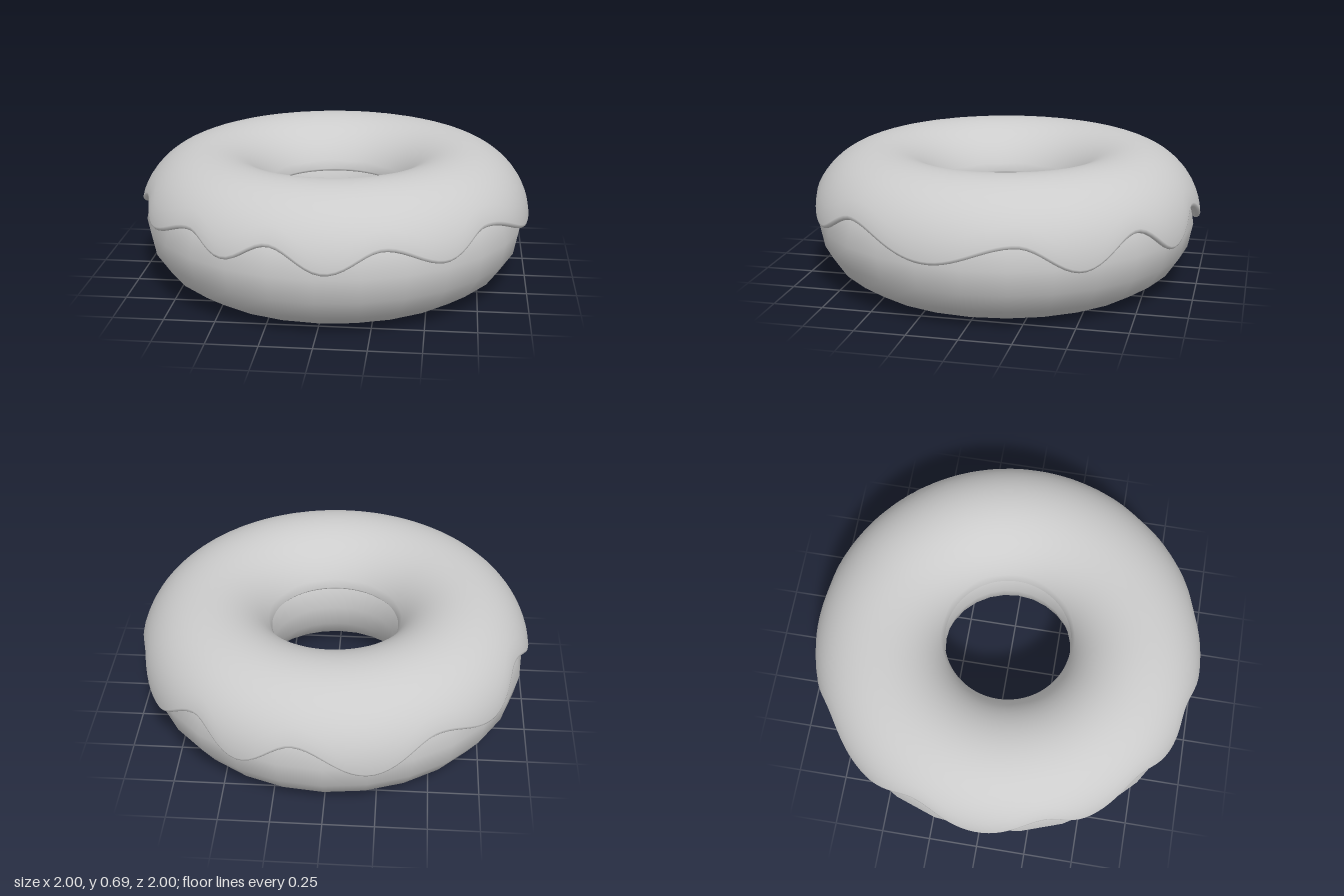
import * as THREE from 'three';

const RING = 0.65, TUBE = 0.322, CY = 0.325;

// Crests and drips of the icing hem: [angle in degrees from +x towards +z, height]
const HEM = [
  [9, 0.34], [37, 0.46], [53, 0.36], [71, 0.447], [87, 0.35], [103, 0.46], [116, 0.375],
  [129, 0.46], [147, 0.385], [160, 0.47], [179, 0.365], [199, 0.476], [217, 0.353],
  [237, 0.434], [257, 0.297], [278, 0.44], [294, 0.31], [309, 0.44], [327, 0.305], [345, 0.43],
];

// Smooth wave through the crests and drips
function hemHeight(deg) {
  const n = HEM.length;
  const d = deg < HEM[0][0] ? deg + 360 : deg;
  let i = n - 1;
  while (HEM[i][0] > d) i--;
  const [a0, y0] = HEM[i];
  const [a1, y1] = i + 1 < n ? HEM[i + 1] : [HEM[0][0] + 360, HEM[0][1]];
  const t = (d - a0) / (a1 - a0);
  return y0 + (y1 - y0) * (1 - Math.cos(Math.PI * t)) / 2;
}

// Cross-section as [tube angle, tube radius], from the outer hem over the top to the hole
function icingProfile(height) {
  const outer = Math.asin((height - CY) / (TUBE + 0.015));
  const inner = THREE.MathUtils.degToRad(158);
  const points = [[outer + 0.06, TUBE - 0.02]];
  // rounded lip
  for (let k = 0; k <= 5; k++) {
    const a = (k / 5) * Math.PI;
    points.push([outer + 0.05 * (1 - Math.sin(a)), TUBE + 0.015 - 0.018 * Math.cos(a)]);
  }
  // body, thickest on top and thin in the hole
  const steps = 20;
  for (let k = 1; k <= steps; k++) {
    const t = k / steps;
    const phi = outer + 0.05 + (inner - outer - 0.05) * t;
    const thick = phi < Math.PI / 2
      ? 0.032 + 0.011 * Math.max(0, Math.sin(phi))
      : 0.018 + 0.025 * Math.sin(phi);
    points.push([phi, TUBE + thick]);
  }
  points.push([inner + 0.025, TUBE + 0.012], [inner + 0.01, TUBE - 0.02]);
  return points;
}

function icingGeometry() {
  const around = 180;
  const positions = [], index = [];
  let rows = 0;
  for (let i = 0; i < around; i++) {
    const deg = (i / around) * 360;
    const theta = THREE.MathUtils.degToRad(deg);
    const profile = icingProfile(hemHeight(deg));
    rows = profile.length;
    for (const [phi, rho] of profile) {
      const r = RING + rho * Math.cos(phi);
      positions.push(r * Math.cos(theta), CY + rho * Math.sin(phi), r * Math.sin(theta));
    }
  }
  for (let i = 0; i < around; i++) {
    for (let j = 0; j < rows - 1; j++) {
      const a = i * rows + j;
      const b = ((i + 1) % around) * rows + j;
      index.push(a, a + 1, b, b, a + 1, b + 1);
    }
  }
  const geometry = new THREE.BufferGeometry();
  geometry.setAttribute('position', new THREE.Float32BufferAttribute(positions, 3));
  geometry.setIndex(index);
  geometry.computeVertexNormals();
  return geometry;
}

export function createModel() {
  const group = new THREE.Group();
  group.name = 'ringCake';
  const plainGrey = new THREE.MeshStandardMaterial({ color: 0xcccccc });
  plainGrey.name = 'plainGrey';

  // Dough ring
  const doughGeometry = new THREE.TorusGeometry(RING, TUBE, 16, 28);
  doughGeometry.rotateX(-Math.PI / 2);
  const dough = new THREE.Mesh(doughGeometry, plainGrey);
  dough.name = 'dough';
  dough.position.y = TUBE;

  // Icing with a wavy, dripping hem
  const icing = new THREE.Mesh(icingGeometry(), plainGrey);
  icing.name = 'icing';

  group.add(dough, icing);
  return group;
}
